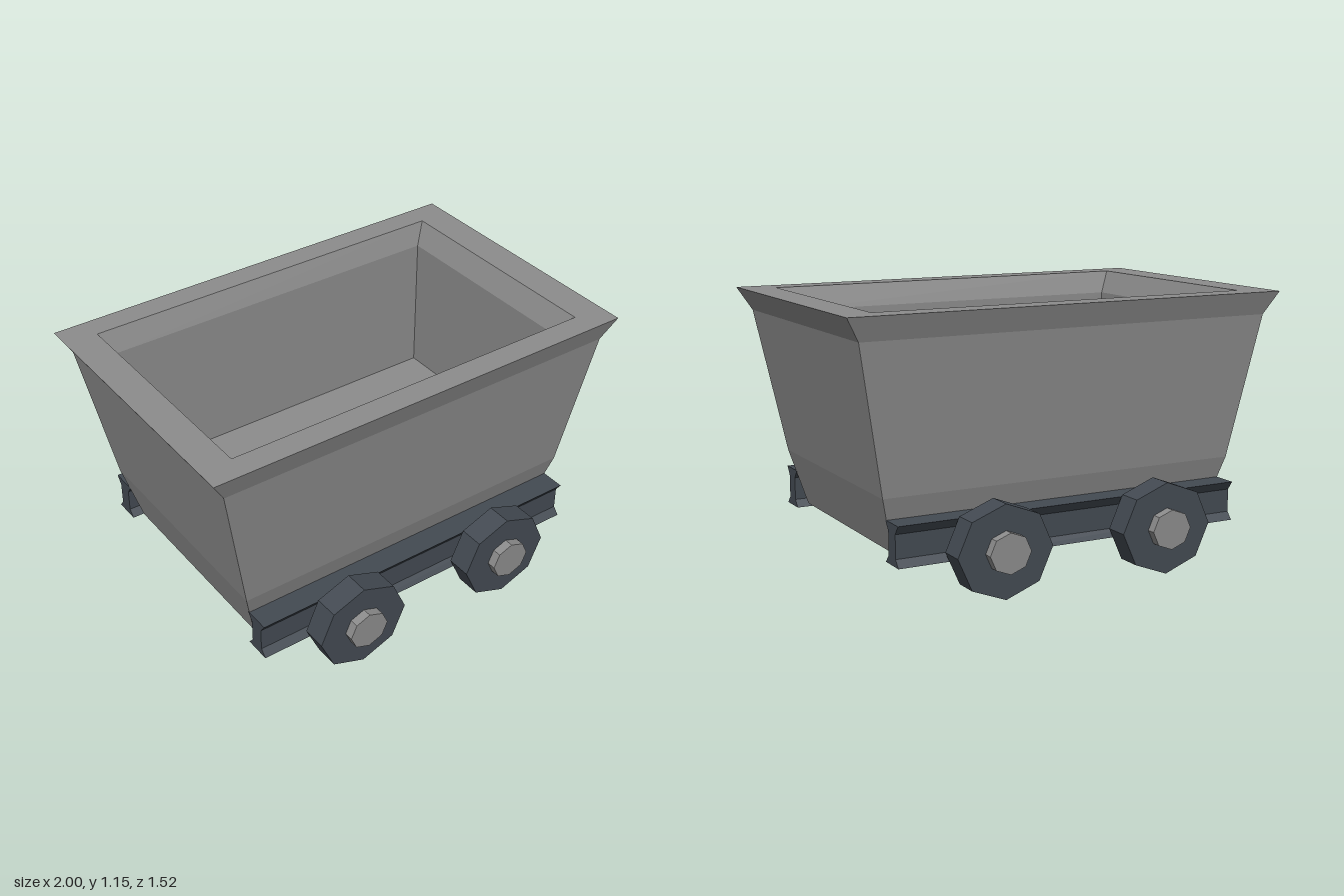
import * as THREE from 'three';

const grey = new THREE.MeshStandardMaterial({ color: 0x8c8c8c });
grey.name = 'tubGrey';
const dark = new THREE.MeshStandardMaterial({ color: 0x434a52 });
dark.name = 'darkIron';

// Rectangular rings [halfX, y, halfZ] joined in order, with both ends capped
function rectLoft(rings) {
  const pos = [];
  const corners = ([x, y, z]) => [[-x, y, z], [x, y, z], [x, y, -z], [-x, y, -z]];
  const quad = (a, b, c, d) => pos.push(...a, ...b, ...c, ...a, ...c, ...d);
  for (let r = 0; r < rings.length - 1; r++) {
    const lo = corners(rings[r]), hi = corners(rings[r + 1]);
    for (let i = 0; i < 4; i++) {
      const j = (i + 1) % 4;
      quad(lo[i], lo[j], hi[j], hi[i]);
    }
  }
  const first = corners(rings[0]);
  quad(first[3], first[2], first[1], first[0]);
  quad(...corners(rings[rings.length - 1]));
  const geo = new THREE.BufferGeometry();
  geo.setAttribute('position', new THREE.Float32BufferAttribute(pos, 3));
  geo.computeVertexNormals();
  return geo;
}

// Eight-sided prism along z with a corner at the top
function octagon(rx, ry, depth) {
  const geo = new THREE.CylinderGeometry(1, 1, depth, 8).toNonIndexed();
  geo.rotateX(Math.PI / 2);
  geo.scale(rx, ry, 1);
  geo.computeVertexNormals();
  return geo;
}

export function createModel() {
  const model = new THREE.Group();
  model.name = 'mineCart';
  const add = (name, geo, mat, x = 0, y = 0, z = 0) => {
    const mesh = new THREE.Mesh(geo, mat);
    mesh.name = name;
    mesh.position.set(x, y, z);
    model.add(mesh);
  };

  // Tub: up the outside, over the flared rim, down the inside to the floor
  add('tub', rectLoft([
    [0.755, 0.18, 0.46], [0.82, 0.42, 0.525], [0.94, 1.05, 0.6], [1, 1.15, 0.635],
    [0.855, 1.15, 0.525], [0.805, 1.05, 0.49], [0.805, 0.42, 0.49],
  ]), grey);

  // Waisted side beams
  const half = [[0.06, 0.085], [0.033, 0.047], [0.033, -0.053], [0.06, -0.085]];
  const outline = [...half, ...half.map(([x, y]) => [-x, y]).reverse()];
  const beam = new THREE.ExtrudeGeometry(
    new THREE.Shape(outline.map(([x, y]) => new THREE.Vector2(x, y))),
    { depth: 1.59, bevelEnabled: false });
  beam.translate(0, 0, -0.795);
  beam.rotateY(Math.PI / 2);
  for (const side of [1, -1]) {
    add(side > 0 ? 'frontBeam' : 'backBeam', beam, dark, 0, 0.242, side * 0.55);
  }

  // Axles running through, with a wheel at each end
  const axle = octagon(0.092, 0.085, 1.52);
  const wheel = octagon(0.213, 0.196, 0.11);
  for (const x of [-0.38, 0.38]) {
    add('axle', axle, grey, x, 0.2, 0);
    for (const side of [1, -1]) add('wheel', wheel, dark, x, 0.197, side * 0.665);
  }
  return model;
}
